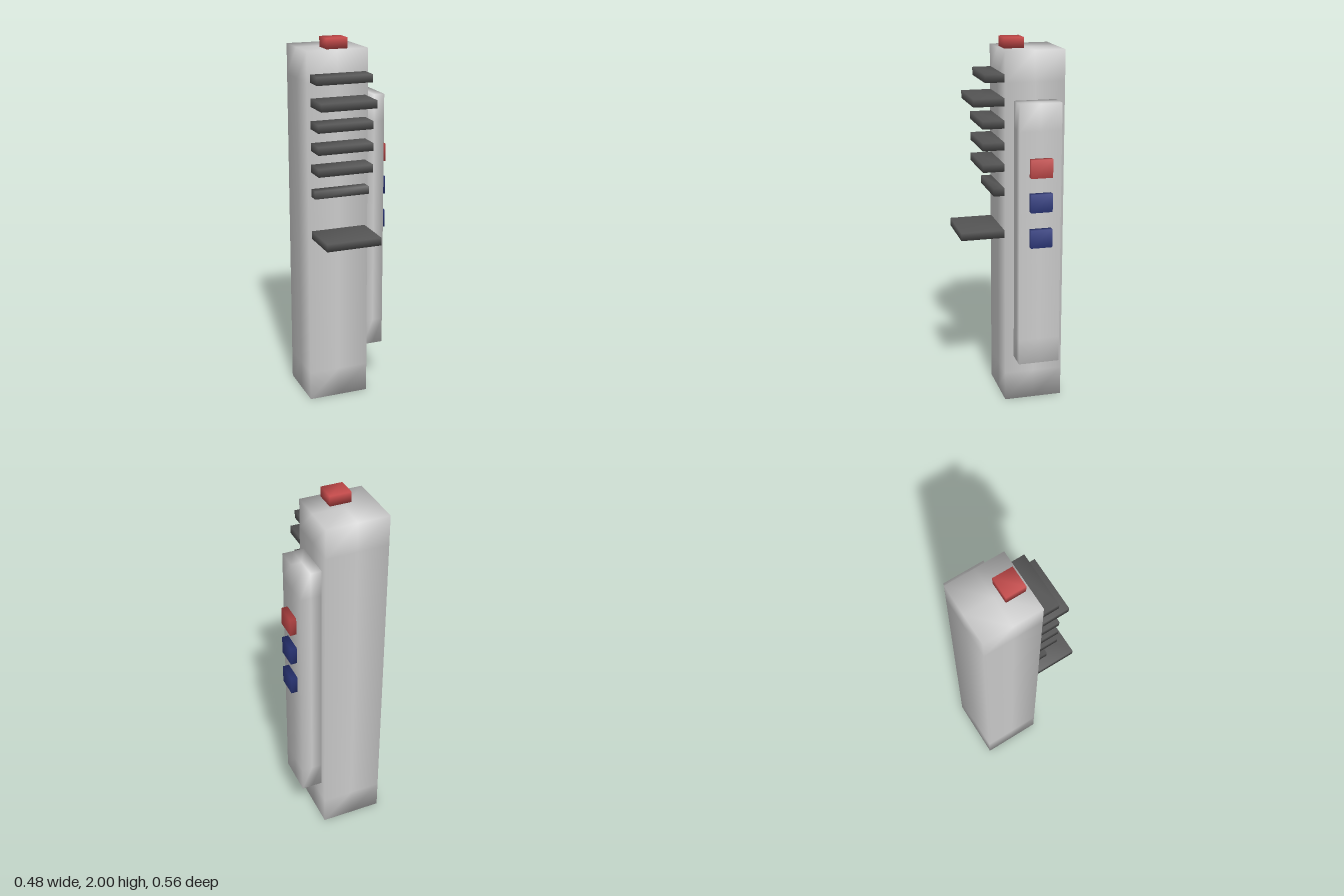
import * as THREE from 'three';
import { mergeVertices } from 'three/addons/utils/BufferGeometryUtils.js';

const paint = (color) => new THREE.MeshStandardMaterial({ color });

// Box from [min, max] ranges, with normals shared across its edges for soft shading
function softBox(name, [x0, x1], [y0, y1], [z0, z1], material, segments = [1, 1, 1]) {
  let geometry = new THREE.BoxGeometry(x1 - x0, y1 - y0, z1 - z0, ...segments);
  geometry.deleteAttribute('normal');
  geometry.deleteAttribute('uv');
  geometry = mergeVertices(geometry);
  geometry.computeVertexNormals();
  const mesh = new THREE.Mesh(geometry, material);
  mesh.name = name;
  mesh.position.set((x0 + x1) / 2, (y0 + y1) / 2, (z0 + z1) / 2);
  return mesh;
}

export function createModel() {
  const model = new THREE.Group();
  model.name = 'tower';
  const grey = paint(0xcccccc);
  const dark = paint(0x555555);
  const red = paint(0xc44a4a);
  const blue = paint(0x2e3a80);

  // Main tower and the narrower block on its left side
  model.add(softBox('towerBody', [-0.242, 0.093], [0, 1.945], [-0.279, 0.042], grey, [2, 12, 2]));
  model.add(softBox('sideBlock', [0.093, 0.207], [0.26, 1.69], [-0.231, -0.006], grey, [2, 10, 2]));

  // Button on the roof
  model.add(softBox('roofButton', [-0.127, -0.012], [1.945, 2], [-0.087, 0.021], red));

  // Ledges on the front: [height, front edge]
  const ledges = new THREE.Group();
  ledges.name = 'frontLedges';
  const ledgeSizes = [
    [1.805, 0.143], [1.682, 0.205], [1.565, 0.157], [1.45, 0.157],
    [1.335, 0.157], [1.203, 0.1], [0.97, 0.277],
  ];
  for (const [y, front] of ledgeSizes) {
    ledges.add(softBox('ledge', [-0.225, 0.077], [y - 0.021, y + 0.021], [0.042, front], dark));
  }
  model.add(ledges);

  // Row of buttons on the side block
  const buttons = new THREE.Group();
  buttons.name = 'sideButtons';
  for (const [y, material] of [[1.357, red], [1.173, blue], [0.98, blue]]) {
    buttons.add(softBox('sideButton', [0.207, 0.241], [y - 0.049, y + 0.049], [-0.176, -0.06], material));
  }
  model.add(buttons);

  return model;
}
